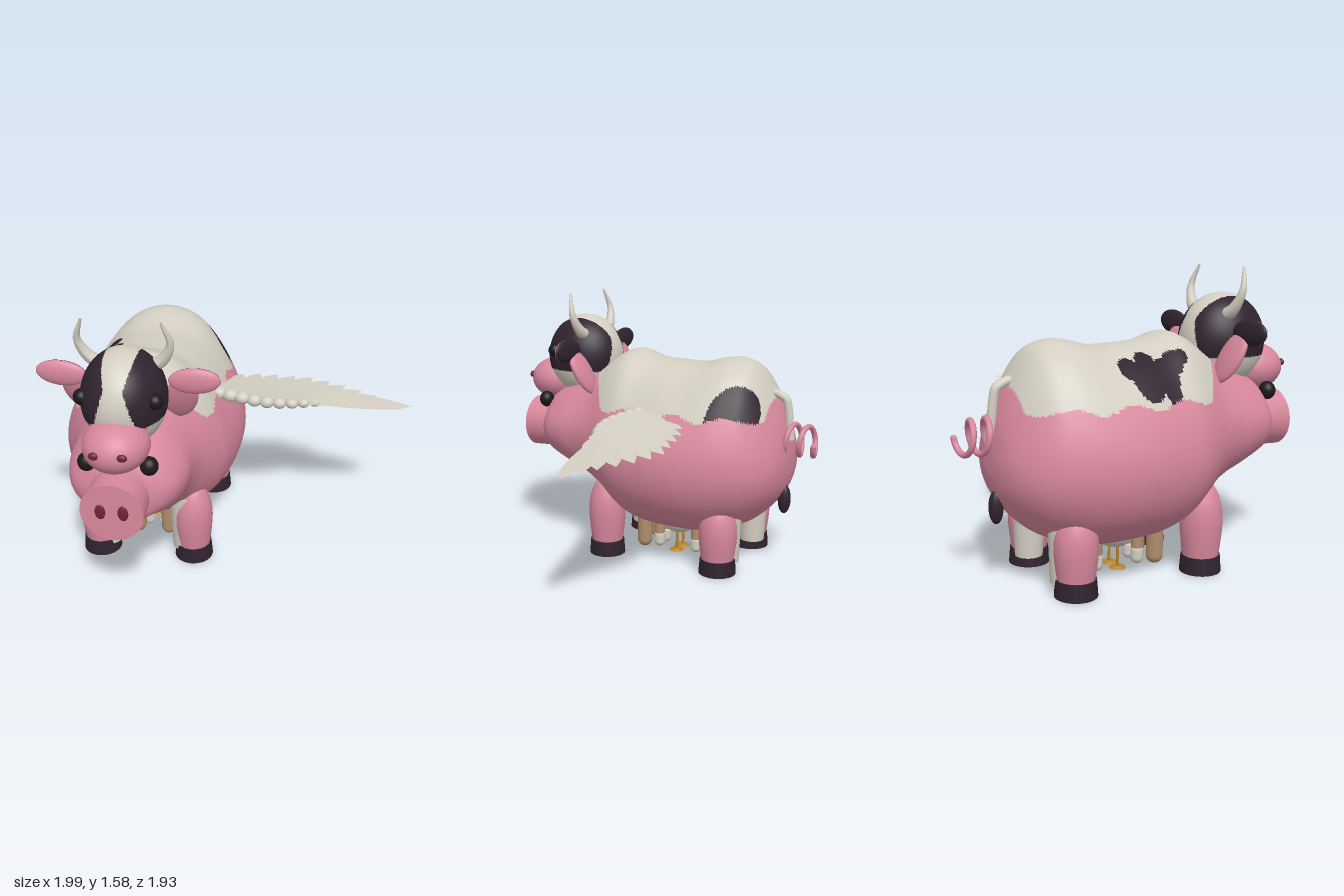
import * as THREE from 'three';

const mat = (name, color, side = THREE.FrontSide) => {
  const m = new THREE.MeshStandardMaterial({ color, side });
  m.name = name;
  return m;
};
const pink = mat('pink skin', 0xd8889d);
const white = mat('cream white', 0xd3cec1, THREE.DoubleSide);
const black = mat('dark plum', 0x30232f);
const eyeBlack = mat('eye black', 0x1c171b);
const nostrilRed = mat('nostril red', 0x6e2535);
const tan = mat('tan', 0xb08e6c);
const gold = mat('gold', 0xb5832c);
const PATCHES = [pink, white, black];
const V = (x, y, z) => new THREE.Vector3(x, y, z);

function add(parent, name, geo, material, pos = [0, 0, 0], rot = [0, 0, 0]) {
  const m = new THREE.Mesh(geo, material);
  m.name = name;
  m.position.set(...pos);
  m.rotation.set(...rot);
  parent.add(m);
  return m;
}
const ellipsoid = (rx, ry, rz, w = 28, h = 20) => new THREE.SphereGeometry(1, w, h).scale(rx, ry, rz);

// Sorts faces into colour groups: pick(x, y, z) returns an index into PATCHES
function paint(geo, pick) {
  const p = geo.attributes.position, idx = geo.index.array, lists = PATCHES.map(() => []);
  for (let i = 0; i < idx.length; i += 3) {
    const t = [idx[i], idx[i + 1], idx[i + 2]];
    const mid = (f) => t.reduce((s, k) => s + p[f](k), 0) / 3;
    lists[pick(mid('getX'), mid('getY'), mid('getZ'))].push(...t);
  }
  geo.setIndex(lists.flat());
  geo.clearGroups();
  let start = 0;
  lists.forEach((l, i) => { if (l.length) geo.addGroup(start, l.length, i); start += l.length; });
  return geo;
}

// Body stations: z, half width, top, middle and bottom height
const STATIONS = [
  [0.805, 0, 0.73, 0.73, 0.73], [0.79, 0.17, 0.88, 0.73, 0.58], [0.72, 0.27, 0.97, 0.74, 0.54],
  [0.6, 0.315, 1.04, 0.75, 0.48], [0.48, 0.325, 1.1, 0.75, 0.42], [0.38, 0.355, 1.15, 0.72, 0.36],
  [0.28, 0.41, 1.22, 0.68, 0.28], [0.18, 0.46, 1.25, 0.65, 0.22], [0.05, 0.49, 1.21, 0.63, 0.18],
  [-0.1, 0.51, 1.2, 0.63, 0.17], [-0.25, 0.51, 1.2, 0.63, 0.17], [-0.4, 0.485, 1.235, 0.63, 0.19],
  [-0.5, 0.455, 1.235, 0.63, 0.23], [-0.6, 0.41, 1.185, 0.63, 0.28], [-0.7, 0.33, 1.03, 0.63, 0.37],
  [-0.77, 0.22, 0.87, 0.64, 0.47], [-0.798, 0.1, 0.74, 0.65, 0.57], [-0.803, 0, 0.65, 0.65, 0.65],
];

function bodyGeometry() {
  const a = new THREE.CatmullRomCurve3(STATIONS.map((s) => V(s[0], s[1], s[2])), false, 'catmullrom');
  const b = new THREE.CatmullRomCurve3(STATIONS.map((s) => V(s[3], s[4], 0)), false, 'catmullrom');
  const N = 187, M = 170, pos = [], idx = [];
  for (let i = 0; i <= N; i++) {
    const p = a.getPoint(i / N), q = b.getPoint(i / N);
    for (let j = 0; j < M; j++) {
      const t = (j / M) * Math.PI * 2, s = Math.sin(t);
      // Upper flanks are drawn in a little
      const pinch = s > 0 ? 1 - 0.08 * Math.sin(2 * t) ** 2 : 1;
      pos.push(p.y * Math.cos(t) * pinch, q.x + s * (s > 0 ? p.z - q.x : q.x - q.y), p.x);
      if (i === N) continue;
      const k = i * M + j, k1 = i * M + ((j + 1) % M);
      idx.push(k, k + M, k1, k1, k + M, k1 + M);
    }
  }
  const g = new THREE.BufferGeometry();
  g.setAttribute('position', new THREE.Float32BufferAttribute(pos, 3));
  g.setIndex(idx);
  g.computeVertexNormals();
  return g;
}

// Cream back with two dark patches over a pink body
const BLOTCHES = [[-0.26, -0.17, 0.055], [-0.31, -0.09, 0.085], [-0.22, -0.06, 0.05], [-0.3, 0.02, 0.075],
  [-0.25, 0.09, 0.055], [-0.24, 0.145, 0.036], [-0.36, 0.03, 0.045]];
function bodyPatch(x, y, z) {
  const line = 0.93 + 0.018 * Math.sin(z * 21) + Math.max(0, z - 0.27) * 1.2;
  if (y < line || z > 0.45 || z < -0.705) return 0;
  if (x > 0.1 && ((z + 0.55) / 0.135) ** 2 + ((y - 0.92) / 0.19) ** 2 < 1) return 2;
  return BLOTCHES.some(([bx, bz, r]) => Math.hypot(x - bx, z - bz) < r) ? 2 : 1;
}

// Tapered horn: a tube whose rings shrink toward the tip
function hornGeometry(s) {
  const path = new THREE.CatmullRomCurve3([V(s * 0.1, 1.31, 0.5), V(s * 0.185, 1.36, 0.51),
    V(s * 0.235, 1.46, 0.53), V(s * 0.2, 1.58, 0.56)]);
  const g = new THREE.TubeGeometry(path, 20, 0.042, 12), p = g.attributes.position;
  for (let i = 0; i < p.count; i++) {
    const t = Math.floor(i / 13) / 20, c = path.getPointAt(t);
    const v = V(0, 0, 0).fromBufferAttribute(p, i).sub(c).multiplyScalar(1 - 0.84 * t).add(c);
    p.setXYZ(i, v.x, v.y, v.z);
  }
  g.computeVertexNormals();
  return g;
}

function addCowHead(body) {
  const head = new THREE.Group();
  head.name = 'cowHead';
  body.add(head);
  // Dark cheeks, cream blaze and jaw
  const skull = paint(ellipsoid(0.22, 0.26, 0.242, 120, 90).translate(0, 1.18, 0.572), (x, y, z) => {
    if (y < 1.105) return z > 0.73 ? 0 : 1;
    return Math.abs(x) > 0.048 + 0.3 * Math.abs(y - 1.31) ? 2 : 1;
  });
  add(head, 'cowSkull', skull, PATCHES);
  add(head, 'cowMuzzle', ellipsoid(0.17, 0.137, 0.18), pink, [0, 1.02, 0.775]);
  for (const s of [-1, 1]) {
    add(head, 'cowNostril', ellipsoid(0.026, 0.02, 0.015), nostrilRed, [s * 0.07, 1.04, 0.938]);
    add(head, 'cowEye', ellipsoid(0.042, 0.042, 0.042), eyeBlack, [s * 0.185, 1.225, 0.69]);
    add(head, 'horn', hornGeometry(s), white);
    // Pink front, dark back
    const ear = paint(ellipsoid(0.135, 0.07, 0.032, 32, 24), (x, y, z) => (z > 0 ? 0 : 2));
    add(head, 'cowEar', ear, PATCHES, [s * 0.345, 1.25, 0.497], [0, 0, s * 0.06]);
  }
}

function addPigFace(body) {
  const face = new THREE.Group();
  face.name = 'pigFace';
  body.add(face);
  add(face, 'snout', new THREE.CylinderGeometry(0.162, 0.153, 0.2, 40), pink, [0, 0.722, 0.845], [Math.PI / 2, 0, 0]);
  for (const s of [-1, 1]) {
    add(face, 'snoutNostril', ellipsoid(0.027, 0.043, 0.009), nostrilRed, [s * 0.058, 0.725, 0.945]);
    add(face, 'pigEye', ellipsoid(0.047, 0.05, 0.045), eyeBlack, [s * 0.16, 0.905, 0.775]);
    add(face, 'pigEar', ellipsoid(0.09, 0.15, 0.035), pink, [s * 0.26, 1.12, 0.445], [0.4, 0, -s * 0.3]);
  }
}

function addLegs(body) {
  const profile = [[0.092, 0.06], [0.112, 0.24], [0.105, 0.36], [0.07, 0.45], [0.03, 0.475], [0, 0.48]];
  const pinkLeg = new THREE.LatheGeometry(
    new THREE.SplineCurve(profile.map((p) => new THREE.Vector2(...p))).getPoints(20), 28);
  // Cream inner legs show beside the pink ones, more so at the back
  for (const [name, z, h, innerX, innerZ] of [['front', 0.27, 1, 0.045, 0], ['back', -0.47, 0.9, 0.06, -0.03]]) {
    for (const s of [-1, 1]) {
      const leg = new THREE.Group();
      leg.name = name + 'Leg';
      leg.position.set(s * 0.275, 0, z);
      body.add(leg);
      add(leg, 'pigLeg', pinkLeg, pink).scale.y = h;
      add(leg, 'cowLeg', new THREE.CylinderGeometry(0.09, 0.075, 0.36, 24), white, [-s * innerX, 0.24, innerZ]);
      add(leg, 'hoof', new THREE.CylinderGeometry(0.103, 0.11, 0.09, 28), black, [0, 0.045, 0]);
    }
  }
}

function addUdder(body) {
  add(body, 'udder', ellipsoid(0.15, 0.09, 0.12), white, [0, 0.205, -0.11]);
  for (const s of [-1, 1]) {
    for (const z of [0.1, -0.34]) {
      add(body, 'tanTeat', new THREE.CapsuleGeometry(0.046, 0.15, 8, 16), tan, [s * 0.093, 0.13, z]);
    }
    for (const z of [0.02, -0.23]) {
      add(body, 'innerTeat', new THREE.CapsuleGeometry(0.032, 0.12, 8, 16), tan, [s * 0.045, 0.16, z]);
      add(body, 'teatTip', new THREE.CapsuleGeometry(0.035, 0.04, 8, 16), white, [s * 0.045, 0.06, z]);
      add(body, 'teatRing', new THREE.TorusGeometry(0.034, 0.006, 6, 20), gold, [s * 0.045, 0.17, z], [Math.PI / 2, 0, 0]);
    }
    add(body, 'pinStem', new THREE.CylinderGeometry(0.008, 0.008, 0.16, 10), gold, [s * 0.045, 0.085, -0.1]);
    add(body, 'pinBase', new THREE.CylinderGeometry(0.03, 0.045, 0.012, 20), gold, [s * 0.045, 0.006, -0.1]);
  }
}

function addTails(body) {
  const curl = [];
  for (let i = 0; i <= 48; i++) {
    const t = i / 48, a = t * Math.PI * 4.4 - 1.4, r = 0.09 - 0.01 * t;
    curl.push(V(r * Math.cos(a), 0.785 + r * Math.sin(a), -0.775 - 0.18 * t));
  }
  add(body, 'curlyTail', new THREE.TubeGeometry(new THREE.CatmullRomCurve3(curl), 140, 0.016, 10), pink);
  add(body, 'curlyTailTip', ellipsoid(0.016, 0.016, 0.016, 12, 8), pink, curl[48].toArray());
  const path = new THREE.CatmullRomCurve3([V(0, 1.05, -0.685), V(0, 1.045, -0.71), V(0, 1.015, -0.762),
    V(0, 0.98, -0.773), V(0, 0.78, -0.795)]);
  add(body, 'cowTail', new THREE.TubeGeometry(path, 30, 0.024, 12), white);
  add(body, 'tailTuft', ellipsoid(0.036, 0.088, 0.038), black, [0, 0.42, -0.772]);
}

// Single wing on the left side: beaded arm and three rows of feathers
function addWing(root) {
  const wing = new THREE.Group();
  wing.name = 'wing';
  root.add(wing);
  const height = (x, z) => 0.925 - 0.07 * x + 0.1 * z;
  const curve = (pts) => new THREE.CatmullRomCurve3(pts.map(([x, z]) => V(x, height(x, z), z)));
  const arm = curve([[-0.09, 0], [0, 0.02], [0.16, 0.05], [0.3, 0.03], [0.45, -0.04]]);
  const leaf = new THREE.Shape();
  leaf.moveTo(0, 0);
  leaf.bezierCurveTo(0.1, -0.45, 0.55, -0.6, 0.85, -0.4);
  leaf.lineTo(1, 0);
  leaf.lineTo(0.85, 0.4);
  leaf.bezierCurveTo(0.55, 0.6, 0.1, 0.45, 0, 0);
  const leafGeo = new THREE.ShapeGeometry(leaf, 8);
  const oval = new THREE.CircleGeometry(0.5, 20).translate(0.5, 0, 0);
  const rows = [
    ['longFeather', leafGeo, 11, 0.1, 0, [[0, -0.33], [0.13, -0.38], [0.28, -0.4], [0.42, -0.42], [0.54, -0.39], [0.68, -0.32], [0.82, -0.24], [1, -0.16]]],
    ['middleFeather', leafGeo, 10, 0.085, 0.014, [[-0.03, -0.21], [0.14, -0.25], [0.32, -0.25], [0.48, -0.19], [0.62, -0.08]]],
    ['shortFeather', oval, 9, 0.075, 0.026, [[-0.06, -0.1], [0.12, -0.12], [0.28, -0.13], [0.4, -0.11], [0.51, -0.06]]],
  ];
  for (const [name, geo, n, width, lift, tips] of rows) {
    const edge = curve(tips);
    for (let i = 0; i < n; i++) {
      const t = i / (n - 1), base = arm.getPointAt(0.1 + 0.85 * t), dir = edge.getPointAt(t).sub(base);
      const len = dir.length();
      dir.normalize();
      // Each blade rolls slightly so neighbours overlap
      const side = V(0, 1, 0).cross(dir).normalize();
      side.y += 0.09;
      side.addScaledVector(dir, -side.dot(dir)).normalize();
      const f = add(wing, name, geo, white, [base.x, base.y + lift, base.z]);
      f.quaternion.setFromRotationMatrix(new THREE.Matrix4().makeBasis(dir, side, dir.clone().cross(side)));
      f.scale.set(len, width, 1);
    }
  }
  for (let i = 0; i < 9; i++) {
    const p = arm.getPointAt(i / 8), r = 0.044 - 0.0018 * i;
    add(wing, 'armBead', ellipsoid(r * 1.1, r * 0.9, r, 16, 12), white, p.toArray());
  }
}

export function createModel() {
  const root = new THREE.Group();
  root.name = 'wingedCowPig';
  const body = new THREE.Group();
  body.name = 'animal';
  body.position.x = -0.48;
  root.add(body);
  add(body, 'torso', paint(bodyGeometry(), bodyPatch), PATCHES);
  addCowHead(body);
  addPigFace(body);
  addLegs(body);
  addUdder(body);
  addTails(body);
  addWing(root);
  return root;
}
